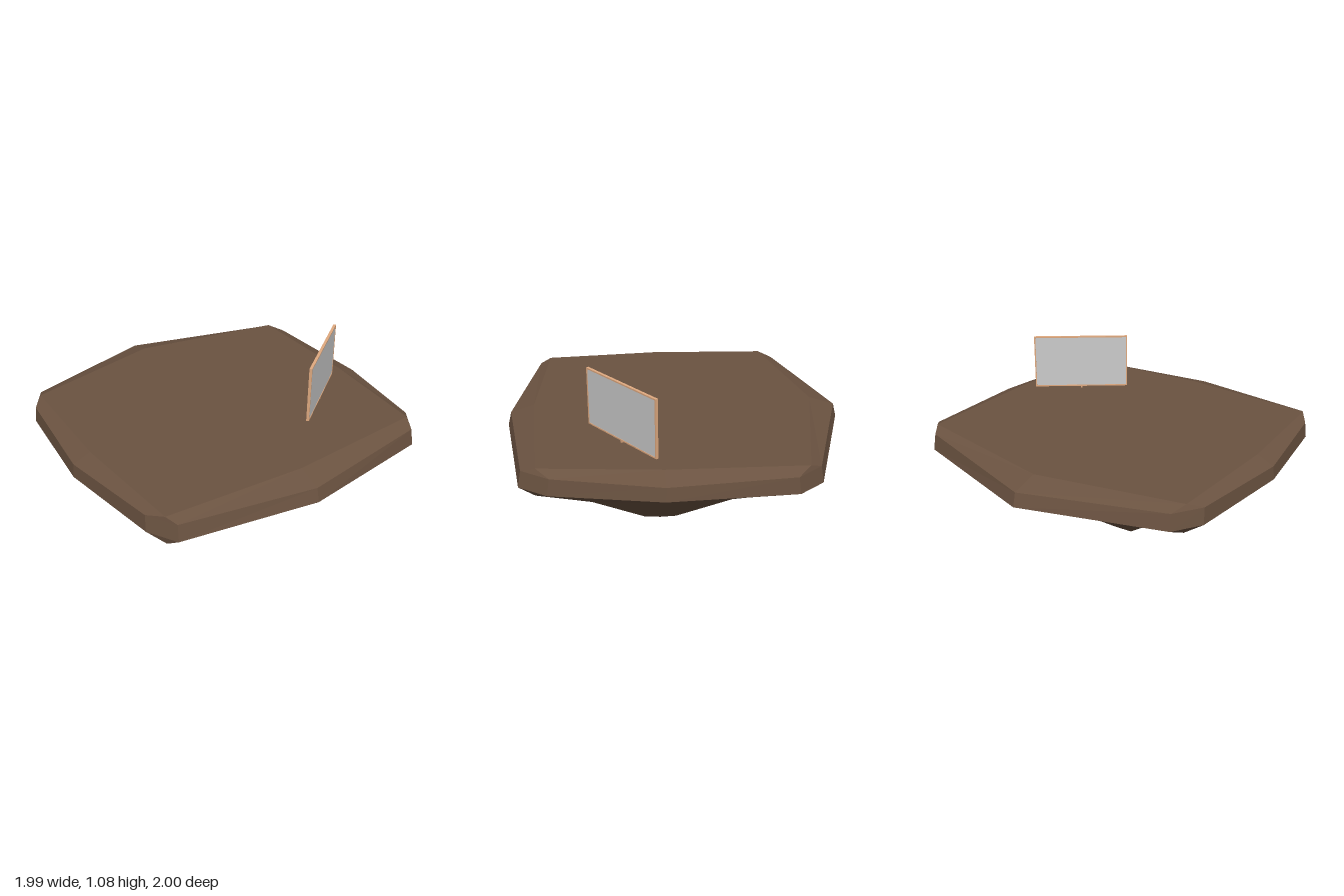
import * as THREE from 'three';

const rock = new THREE.MeshStandardMaterial({ color: 0x6b5341, flatShading: true });
const wood = new THREE.MeshStandardMaterial({ color: 0xe0aa80 });
const grey = new THREE.MeshStandardMaterial({ color: 0xcccccc });

// Rings list [x, y, z] from the back middle, clockwise seen from above.
// Eight-point rings have one point per corner; double it to match the bevelled rim.
const doubleCorners = ring => ring.flatMap((p, i) => (i % 2 ? [p, p] : [p]));

// Joins stacked rings (top to bottom) and caps both ends, skipping collapsed triangles.
function loft(rings) {
  const out = [];
  const same = (a, b) => a.every((v, i) => v === b[i]);
  const tri = (a, b, c) => {
    if (!same(a, b) && !same(b, c) && !same(a, c)) out.push(...a, ...b, ...c);
  };
  const n = rings[0].length;
  for (let r = 0; r < rings.length - 1; r++) {
    for (let i = 0; i < n; i++) {
      const j = (i + 1) % n;
      const a = rings[r][i], b = rings[r][j], c = rings[r + 1][j], d = rings[r + 1][i];
      tri(a, b, c);
      tri(a, c, d);
    }
  }
  const top = rings[0], bottom = rings[rings.length - 1];
  const centre = ring => [0, 1, 2].map(k => ring.reduce((s, p) => s + p[k], 0) / n);
  const ct = centre(top), cb = centre(bottom);
  for (let i = 0; i < n; i++) {
    const j = (i + 1) % n;
    tri(ct, top[j], top[i]);
    tri(cb, bottom[i], bottom[j]);
  }
  const g = new THREE.BufferGeometry();
  g.setAttribute('position', new THREE.Float32BufferAttribute(out, 3));
  g.computeVertexNormals();
  return g;
}

function createIsland() {
  // Flat ground on top
  const top = doubleCorners([
    [-0.05, 0.73, -0.83], [0.85, 0.73, -0.68], [0.87, 0.73, 0.08], [0.83, 0.73, 0.75],
    [0, 0.73, 0.84], [-0.82, 0.725, 0.81], [-0.89, 0.73, 0.1], [-0.88, 0.73, -0.62],
  ]);
  // Widest outline, with two points at every bevelled corner
  const outline = [
    [-0.05, -1], [0.81, -0.76], [0.93, -0.62], [0.99, 0.08], [0.9, 0.69], [0.8, 0.85],
    [0, 1], [-0.79, 0.89], [-0.89, 0.73], [-1, 0.1], [-0.95, -0.56], [-0.85, -0.72],
  ];
  const upperRim = outline.map(([x, z], i) => [x * 0.993, i % 3 ? 0.7 : 0.685, z * 0.98]);
  upperRim[0][2] = -0.98;
  const lowerRim = outline.map(([x, z]) => [x, 0.605, z]);
  // Underside, narrowing to a small foot
  const under = doubleCorners([
    [-0.05, 0.605, -0.995], [0.83, 0.56, -0.65], [0.985, 0.6, 0.08], [0.81, 0.56, 0.76],
    [0, 0.6, 0.995], [-0.82, 0.56, 0.82], [-0.995, 0.6, 0.1], [-0.87, 0.56, -0.62],
  ]);
  const middle = doubleCorners([
    [-0.02, 0.32, -0.46], [0.45, 0.31, -0.32], [0.5, 0.32, 0.09], [0.45, 0.31, 0.49],
    [0, 0.32, 0.6], [-0.45, 0.31, 0.5], [-0.47, 0.32, 0.1], [-0.45, 0.31, -0.31],
  ]);
  const foot = doubleCorners([
    [0, 0, -0.02], [0.1, 0, -0.01], [0.11, 0, 0.09], [0.1, 0, 0.19],
    [0, 0, 0.2], [-0.1, 0, 0.19], [-0.11, 0, 0.09], [-0.1, 0, -0.01],
  ]);
  const island = new THREE.Mesh(loft([top, upperRim, lowerRim, under, middle, foot]), rock);
  island.name = 'island';
  return island;
}

// Upright board in a thin wooden frame on a short peg
function createSign() {
  const sign = new THREE.Group();
  sign.name = 'sign';
  const w = 0.6, h = 0.34, bar = 0.008, depth = 0.016;
  const box = (name, sx, sy, sz, x, y, material) => {
    const m = new THREE.Mesh(new THREE.BoxGeometry(sx, sy, sz), material);
    m.position.set(x, y, 0);
    m.name = name;
    sign.add(m);
  };
  box('panel', w - 2 * bar, h - 2 * bar, depth * 0.7, 0, h / 2, grey);
  for (const s of [-1, 1]) {
    box('frameSide', bar, h, depth, s * (w - bar) / 2, h / 2, wood);
    box('frameRail', w - 2 * bar, bar, depth, 0, h / 2 + s * (h - bar) / 2, wood);
  }
  box('peg', 0.012, 0.02, 0.012, 0, -0.008, wood);
  sign.position.set(0.535, 0.742, 0.306);
  sign.rotation.y = Math.atan2(0.375, 0.47);
  return sign;
}

export function createModel() {
  const model = new THREE.Group();
  model.name = 'floatingIsland';
  model.add(createIsland(), createSign());
  return model;
}
